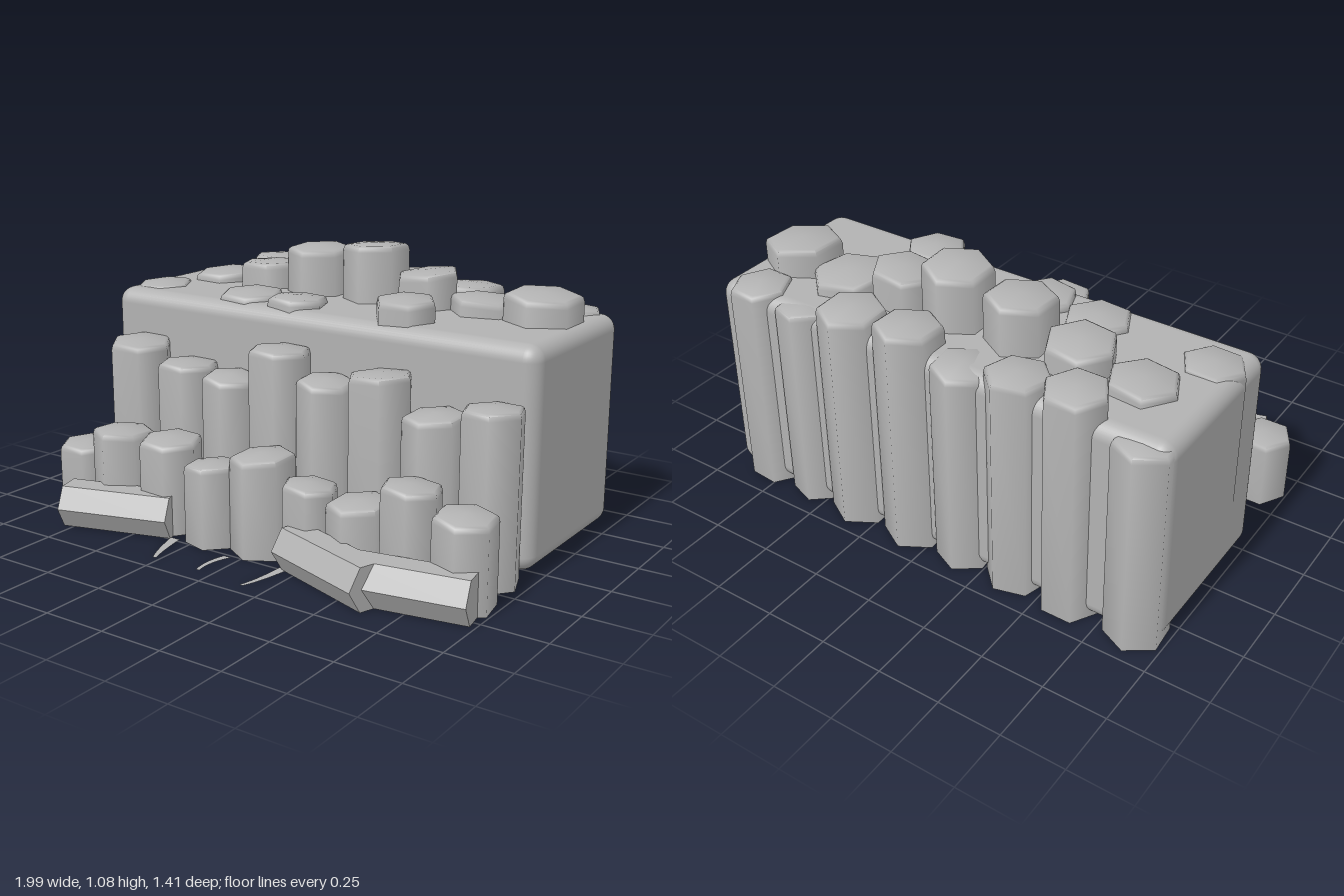
import * as THREE from 'three';
import { RoundedBoxGeometry } from 'three/addons/geometries/RoundedBoxGeometry.js';
import { toCreasedNormals } from 'three/addons/utils/BufferGeometryUtils.js';

const stone = new THREE.MeshStandardMaterial({ color: 0xb2b2b2 });
stone.name = 'grey stone';
const stoneThin = stone.clone();
stoneThin.side = THREE.DoubleSide;

// Six-sided column with a worn, slightly tilted top; corner angle in degrees
function columnGeometry(r, base, top, corner, tiltX, tiltZ) {
  const profile = [[0, base], [r, base], [r, top - 0.028], [r * 0.96, top - 0.01], [r * 0.87, top - 0.003], [0, top + 0.004]]
    .map(([x, y]) => new THREE.Vector2(x, y));
  const geo = new THREE.LatheGeometry(profile, 6, Math.PI / 2 - THREE.MathUtils.degToRad(corner));
  const p = geo.attributes.position;
  for (let i = 0; i < p.count; i++) {
    if (p.getY(i) > base + 0.001) p.setY(i, p.getY(i) + tiltX * p.getX(i) + tiltZ * p.getZ(i));
  }
  return toCreasedNormals(geo, 1.1);
}

// Each column: x, z, radius, height, corner angle, tilt along x
function addRow(group, name, base, columns) {
  const row = new THREE.Group();
  row.name = name;
  columns.forEach(([x, z, r, h, corner, tilt = 0], i) => {
    const mesh = new THREE.Mesh(columnGeometry(r, base, h, corner, tilt, i % 2 ? 0.04 : -0.04), stone);
    mesh.name = 'column';
    mesh.position.set(x, 0, z);
    row.add(mesh);
  });
  group.add(row);
}

export function createModel() {
  const group = new THREE.Group();
  group.name = 'basaltCliff';

  // Main cliff block
  const block = new THREE.Mesh(new RoundedBoxGeometry(1.95, 0.84, 0.71, 4, 0.06), stone);
  block.name = 'cliffBlock';
  block.position.set(-0.01, 0.43, -0.285);
  group.add(block);

  // Stepped rows from front to back
  addRow(group, 'frontStep', 0, [
    [-0.88, 0.38, 0.115, 0.275, 0], [-0.66, 0.4, 0.125, 0.37, 30], [-0.43, 0.385, 0.125, 0.37, 5],
    [-0.2, 0.41, 0.112, 0.318, 15, 0.08], [0.015, 0.385, 0.125, 0.385, 30, 0.08], [0.23, 0.385, 0.108, 0.312, 5, -0.05],
    [0.445, 0.385, 0.122, 0.29, 30, 0.06], [0.655, 0.38, 0.115, 0.39, 10, -0.04], [0.88, 0.4, 0.118, 0.333, 20, -0.05],
  ]);
  addRow(group, 'middleStep', 0, [
    [-0.76, 0.17, 0.13, 0.675, -5, -0.04], [-0.52, 0.16, 0.125, 0.615, 5], [-0.3, 0.165, 0.115, 0.592, 15, -0.06],
    [-0.06, 0.17, 0.125, 0.735, 5], [0.15, 0.16, 0.115, 0.64, 25, -0.06], [0.385, 0.16, 0.13, 0.7, 0, 0.08],
    [0.625, 0.175, 0.12, 0.59, 30, 0.06], [0.855, 0.175, 0.12, 0.65, 10, 0.04],
  ]);
  addRow(group, 'topFrontColumns', 0.3, [
    [-0.865, -0.105, 0.122, 0.862, 0, 0.04], [-0.68, -0.06, 0.11, 0.843, 15, -0.1], [-0.385, -0.085, 0.132, 0.878, 5],
    [-0.145, -0.07, 0.122, 0.885, 10], [0.35, -0.07, 0.122, 0.935, -5],
  ]);
  addRow(group, 'topRidgeColumns', 0.3, [
    [-0.73, -0.36, 0.135, 0.89, 5, 0.06], [-0.48, -0.36, 0.135, 0.953, 5, 0.04], [-0.225, -0.345, 0.135, 1.04, 30],
    [0.045, -0.345, 0.133, 1.075, 30, 0.05], [0.285, -0.345, 0.13, 0.99, 0, 0.1], [0.535, -0.37, 0.148, 0.91, -15, -0.05],
    [0.785, -0.34, 0.15, 0.958, 30, -0.06],
  ]);
  addRow(group, 'backColumns', 0, [
    [-0.875, -0.59, 0.12, 0.83, 25], [-0.605, -0.59, 0.122, 0.935, 0], [-0.37, -0.58, 0.125, 0.9, -15],
    [-0.14, -0.585, 0.115, 0.85, 25, 0.06], [0.095, -0.58, 0.13, 0.93, 30], [0.355, -0.58, 0.13, 0.91, 30],
    [0.58, -0.575, 0.115, 0.845, 20, -0.06], [0.8, -0.575, 0.118, 0.868, 5, -0.05],
  ]);

  // Fallen columns lying in front: x, z, length, turn
  for (const [x, z, length, turn] of [[-0.583, 0.515, 0.457, 0.286], [0.42, 0.532, 0.46, -0.333], [0.745, 0.53, 0.46, 0.17]]) {
    const geo = new THREE.CylinderGeometry(0.095, 0.095, length, 6).rotateZ(Math.PI / 2);
    const mesh = new THREE.Mesh(toCreasedNormals(geo, 0.5), stone);
    mesh.name = 'fallenColumn';
    mesh.position.set(x, 0.083, z);
    mesh.rotation.y = turn;
    group.add(mesh);
  }

  // Flat curved streaks on the ground: start, bend, tip, half width
  for (const [ax, az, bx, bz, cx, cz, w] of [
    [-0.33, 0.49, -0.3, 0.62, -0.27, 0.68, 0.022],
    [-0.05, 0.52, -0.085, 0.6, -0.063, 0.68, 0.017],
    [0.19, 0.49, 0.18, 0.63, 0.152, 0.7, 0.02],
  ]) {
    const s = new THREE.Shape();
    s.moveTo(ax - w, -az);
    s.quadraticCurveTo(bx - w * 0.6, -bz, cx - 0.008, -cz);
    s.lineTo(cx + 0.008, -cz);
    s.quadraticCurveTo(bx + w * 0.6, -bz, ax + w, -az);
    s.closePath();
    const mesh = new THREE.Mesh(new THREE.ShapeGeometry(s, 6).rotateX(-Math.PI / 2), stoneThin);
    mesh.name = 'groundStreak';
    mesh.position.y = 0.004;
    group.add(mesh);
  }
  return group;
}
